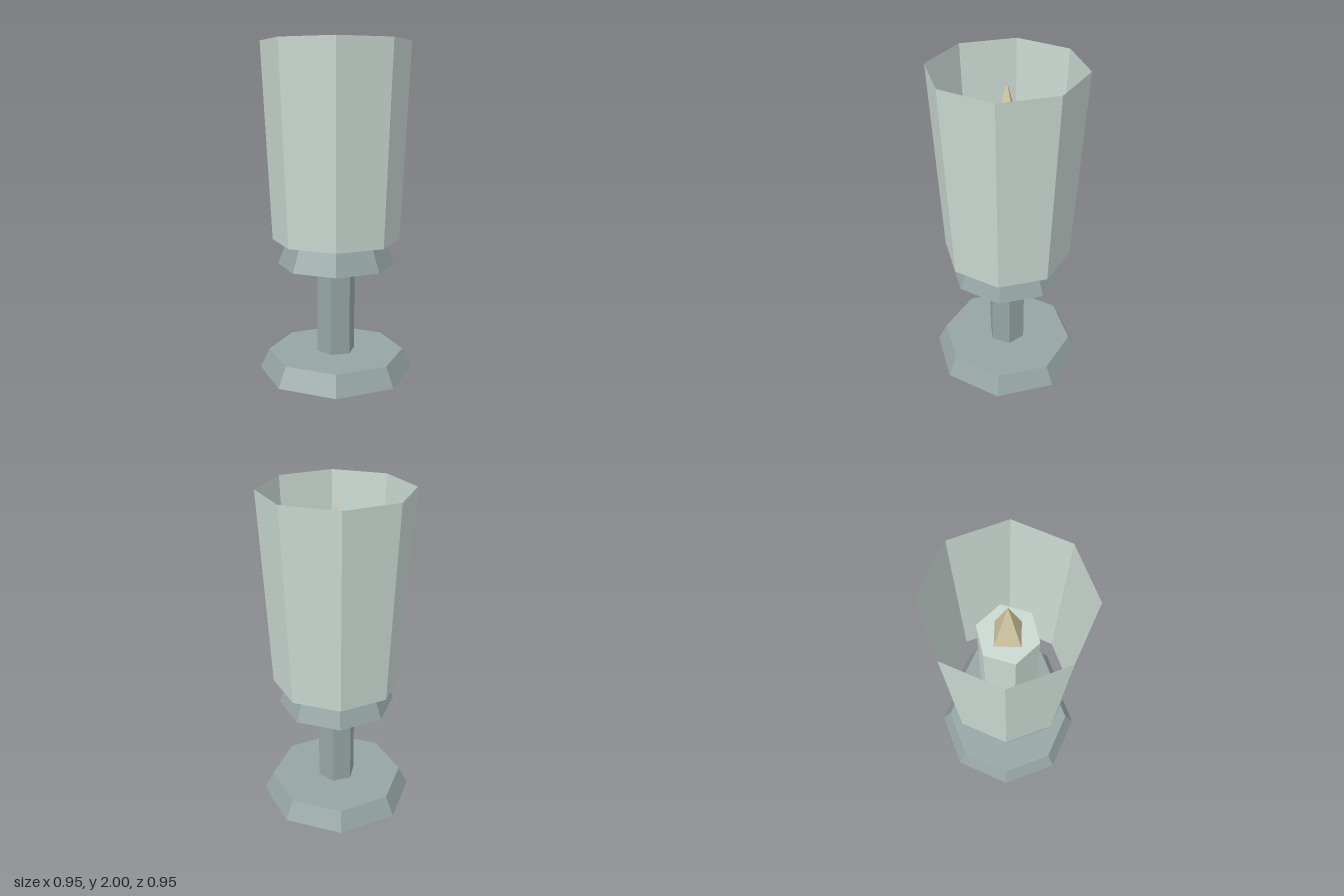
import * as THREE from 'three';

export function createModel() {
  const group = new THREE.Group();
  group.name = 'candleLamp';

  const material = (name, color, side = THREE.FrontSide) =>
    new THREE.MeshStandardMaterial({ name, color, side, flatShading: true });
  const metal = material('greyMetal', 0x95a5a4);
  const pale = material('paleGlass', 0xcad8d1, THREE.DoubleSide);
  const flameTan = material('flameTan', 0xd2c8a4);

  // Tapered prism between two heights
  function prism(name, mat, sides, rBottom, rTop, y0, y1, { turn = 0, open = false } = {}) {
    const geometry = new THREE.CylinderGeometry(rTop, rBottom, y1 - y0, sides, 1, open);
    geometry.rotateY(turn);
    geometry.translate(0, (y0 + y1) / 2, 0);
    const mesh = new THREE.Mesh(geometry, mat);
    mesh.name = name;
    group.add(mesh);
  }

  const hexTurn = Math.PI / 6; // hexagon corners point along x

  // Stand
  prism('base', metal, 8, 0.473, 0.415, 0, 0.12);
  prism('stem', metal, 6, 0.118, 0.118, 0.12, 0.67, { turn: hexTurn });
  prism('cup', metal, 8, 0.354, 0.296, 0.67, 0.82);

  // Candle and flame
  prism('candle', pale, 6, 0.177, 0.177, 0.82, 1.6, { turn: hexTurn });
  prism('flame', flameTan, 4, 0.102, 0, 1.6, 1.92);

  // Thin glass shade, open at both ends
  prism('shade', pale, 8, 0.386, 0.444, 0.82, 2, { open: true });

  return group;
}
